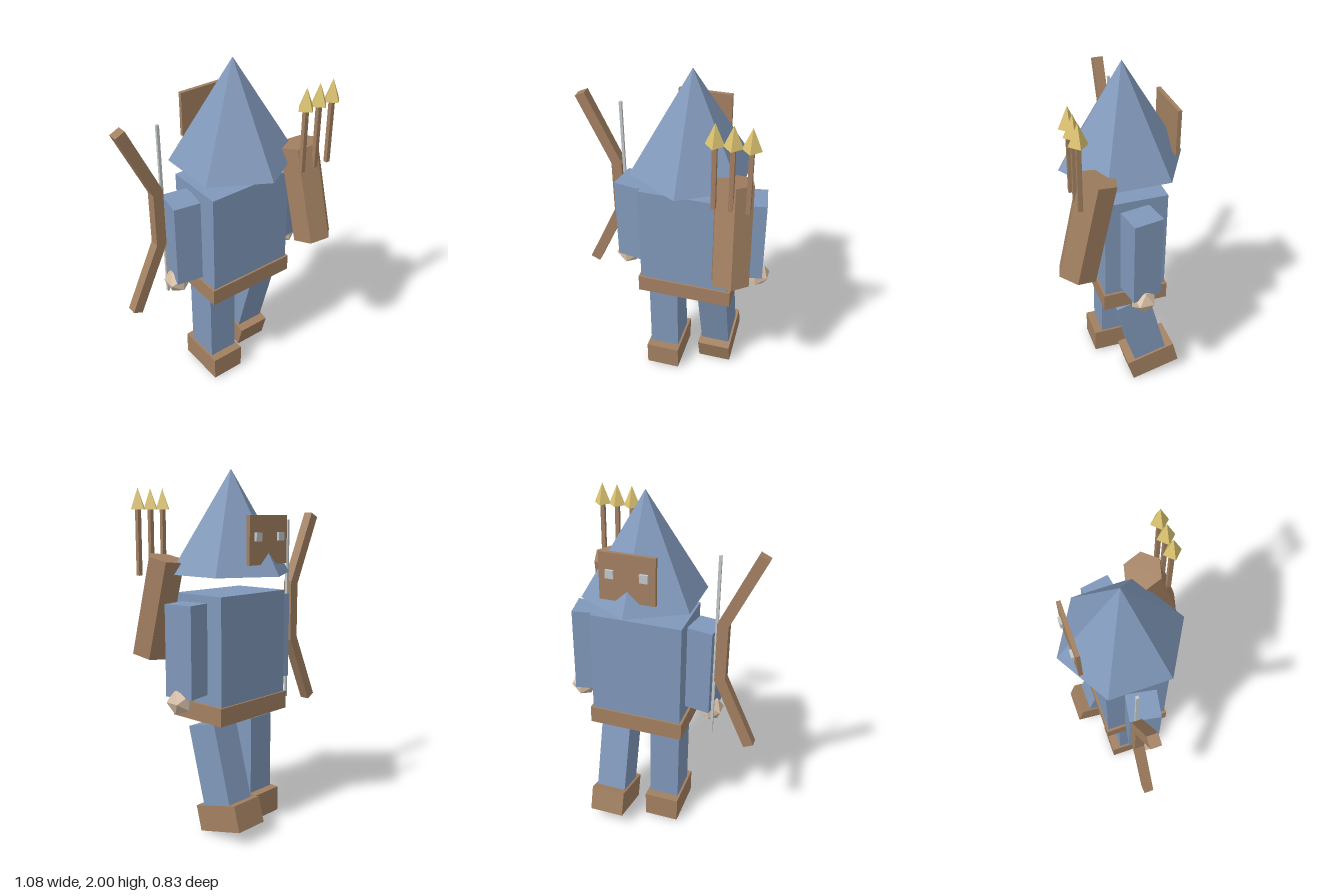
import * as THREE from 'three';

const paint = (name, color) => Object.assign(new THREE.MeshStandardMaterial({ color, flatShading: true }), { name });
const rad = THREE.MathUtils.degToRad;

export function createModel() {
  const blue = paint('blueCloth', 0x8098ba);
  const brown = paint('brownLeather', 0xa28061);
  const skin = paint('skin', 0xd6bfa6);
  const gold = paint('gold', 0xdcc370);
  const grey = paint('paleGrey', 0xc2c8ca);

  const model = new THREE.Group();
  model.name = 'archer';
  // The figure is built facing +z, then turned diagonally
  const body = new THREE.Group();
  body.name = 'body';
  body.position.set(-0.006, 0, -0.034);
  body.rotation.y = rad(-135);
  model.add(body);

  const add = (parent, name, geometry, material, x, y, z) => {
    const mesh = new THREE.Mesh(geometry, material);
    mesh.name = name;
    mesh.position.set(x, y, z);
    parent.add(mesh);
    return mesh;
  };
  const box = (parent, name, w, h, d, material, x, y, z) =>
    add(parent, name, new THREE.BoxGeometry(w, h, d), material, x, y, z);

  // Torso and belt
  box(body, 'torso', 0.516, 0.59, 0.346, blue, 0, 1.045, 0);
  box(body, 'belt', 0.544, 0.1, 0.368, brown, 0, 0.7, 0);

  // Six-sided pointed hood with its front edge poking through the mask
  add(body, 'hood', new THREE.ConeGeometry(0.345, 0.56, 6), blue, 0, 1.72, 0);
  box(body, 'mask', 0.3, 0.255, 0.022, brown, 0, 1.628, 0.26);

  for (const side of [-1, 1]) {
    box(body, 'eye', 0.044, 0.044, 0.014, grey, side * 0.09, 1.645, 0.278);

    // Arms and hands
    const arm = box(body, 'arm', 0.15, 0.495, 0.168, blue, side * 0.342, 1.053, 0);
    arm.rotation.y = rad(-10 * side);
    add(body, 'hand', new THREE.IcosahedronGeometry(0.076), skin, side * 0.39, 0.782, 0);

    // Legs hang from the hip; one steps forward
    const leg = new THREE.Group();
    leg.name = 'legAndBoot';
    const stepping = side < 0;
    leg.position.set(side * 0.15, stepping ? 0.608 : 0.6, 0);
    leg.rotation.x = stepping ? rad(-15) : 0;
    body.add(leg);
    box(leg, 'leg', 0.174, 0.452, 0.2, blue, 0, -0.216, 0);
    box(leg, 'boot', 0.2, 0.146, 0.3, brown, 0, -0.515, 0);
  }

  // Bow: straight grip, two slanted limbs and a string
  const bow = new THREE.Group();
  bow.name = 'bow';
  bow.position.set(0.453, 1.195, 0.065);
  body.add(bow);
  box(bow, 'bowGrip', 0.06, 0.35, 0.055, brown, 0, 0, 0);
  for (const end of [-1, 1]) {
    const limb = box(bow, 'bowLimb', 0.06, 0.436, 0.055, brown, 0.092, end * 0.3625, 0);
    limb.rotation.z = rad(-25 * end);
  }
  box(bow, 'bowString', 0.015, 1.06, 0.015, grey, -0.037, 0.005, 0);

  // Leaning six-sided quiver on the back
  const quiver = add(body, 'quiver',
    new THREE.CylinderGeometry(0.11, 0.11, 0.556, 6).rotateY(rad(15)), brown, -0.29, 1.254, -0.277);
  quiver.rotation.set(rad(13), 0, rad(-2.5));

  // Row of upright arrows
  for (const i of [-1, 0, 1]) {
    const x = -0.288 + i * 0.088;
    box(body, 'arrowShaft', 0.023, 0.36, 0.023, brown, x, 1.61, -0.332);
    add(body, 'arrowHead', new THREE.ConeGeometry(0.049, 0.115, 4), gold, x, 1.843, -0.332);
  }

  return model;
}
